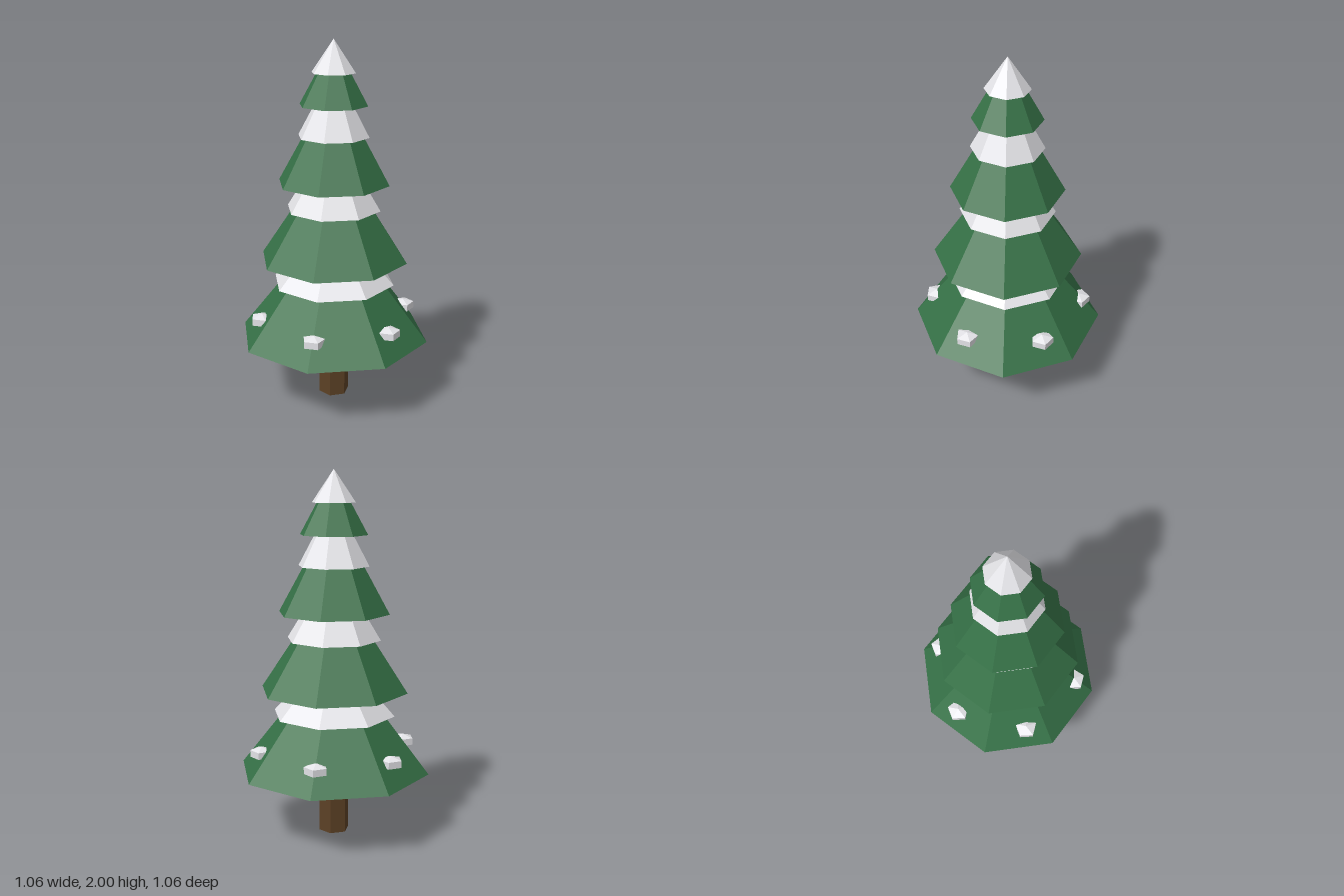
import * as THREE from 'three';

const flat = (name, color) => {
  const m = new THREE.MeshStandardMaterial({ color, flatShading: true });
  m.name = name;
  return m;
};

export function createModel() {
  const tree = new THREE.Group();
  tree.name = 'snowyPineTree';
  const needles = flat('pine green', 0x357046);
  const snow = flat('snow white', 0xe8e8ec);
  const bark = flat('bark brown', 0x5c4125);

  const add = (name, geometry, material, x, y, z) => {
    const mesh = new THREE.Mesh(geometry, material);
    mesh.name = name;
    mesh.position.set(x, y, z);
    tree.add(mesh);
    return mesh;
  };
  // Eight-sided cone standing on a given height
  const cone = (name, radius, height, base, material) =>
    add(name, new THREE.ConeGeometry(radius, height, 8), material, 0, base + height / 2, 0);

  // Hexagonal trunk
  add('trunk', new THREE.CylinderGeometry(0.085, 0.085, 0.4, 6), bark, 0, 0.2, 0);

  // Tiers: branch radius, height, base; snow radius, height, base
  const tiers = [
    [0.532, 0.68, 0.36, 0.34, 0.37, 0.677],
    [0.41, 0.62, 0.81, 0.26, 0.42, 1.095],
    [0.307, 0.55, 1.238, 0.195, 0.36, 1.492],
    [0.186, 0.335, 1.658, 0.119, 0.173, 1.827],
  ];
  tiers.forEach(([r, h, y, sr, sh, sy], i) => {
    cone(`branchTier${i + 1}`, r, h, y, needles);
    cone(`snowCap${i + 1}`, sr, sh, sy, snow);
  });

  // Small flattened five-sided snow lumps around the lowest tier
  const lump = new THREE.SphereGeometry(0.073, 5, 3);
  lump.rotateY(-Math.PI / 2);
  lump.scale(1, 0.51, 1);
  for (let i = 0; i < 6; i++) {
    const a = (i * Math.PI) / 3;
    add(`snowLump${i + 1}`, lump, snow, Math.sin(a) * 0.41, 0.483, Math.cos(a) * 0.41);
  }
  return tree;
}
